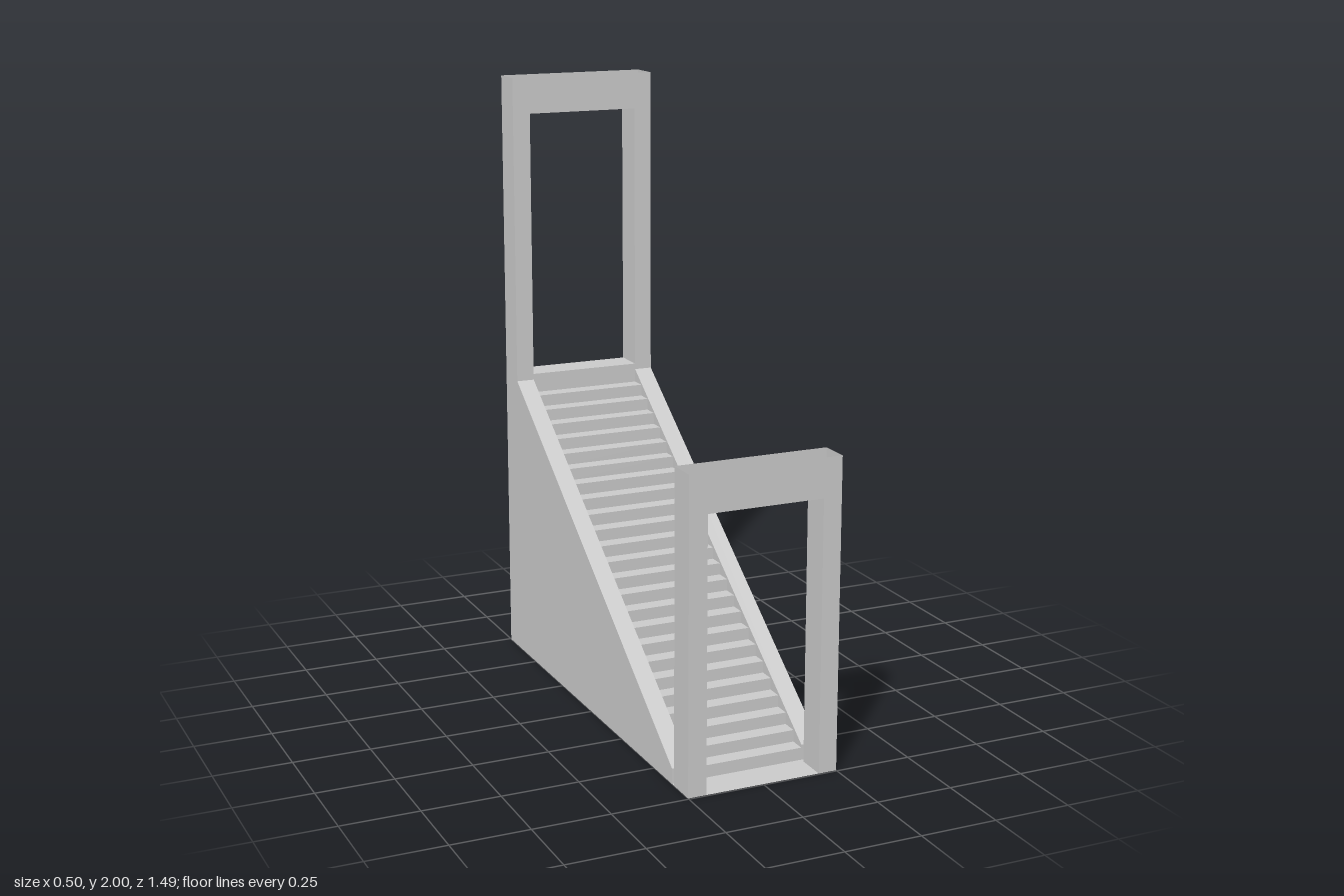
import * as THREE from 'three';

const W = 0.25;            // outer half width
const I = 0.19;            // half width of the stairs and doorways
const FRONT = 0.745, GATE = 0.645, FOOT = 0.63, HEAD = -0.64, BACK = -0.745;
const STEPS = 24, RISE = 0.0385, FLOOR = 0.99;
const RAIL_LOW = 0.05, RAIL_HIGH = 0.97;

const material = new THREE.MeshStandardMaterial({ color: 0xcccccc, side: THREE.DoubleSide });

function shapeOf(points) {
  return new THREE.Shape(points.map(([a, b]) => new THREE.Vector2(a, b)));
}

export function createModel() {
  const model = new THREE.Group();

  function add(name, geometry, parent) {
    const mesh = new THREE.Mesh(geometry, material);
    mesh.name = name;
    parent.add(mesh);
  }

  function group(name) {
    const g = new THREE.Group();
    g.name = name;
    model.add(g);
    return g;
  }

  // Sheet swept along x from a [z, y] profile; faces up when the profile runs backwards
  function sweep(name, profile, x0, x1, parent) {
    const pos = [];
    for (let i = 0; i + 1 < profile.length; i++) {
      const [za, ya] = profile[i], [zb, yb] = profile[i + 1];
      pos.push(x0, ya, za, x1, ya, za, x1, yb, zb, x0, ya, za, x1, yb, zb, x0, yb, zb);
    }
    const g = new THREE.BufferGeometry();
    g.setAttribute('position', new THREE.Float32BufferAttribute(pos, 3));
    g.computeVertexNormals();
    add(name, g, parent);
  }

  // Upright sheet at a given x from a [z, y] outline, facing +x or -x
  function side(name, outline, x, facing, parent) {
    const g = new THREE.ShapeGeometry(shapeOf(outline.map(([z, y]) => [-facing * z, y])));
    g.rotateY(facing * Math.PI / 2);
    g.translate(x, 0, 0);
    add(name, g, parent);
  }

  // Upright sheet at a given z from an [x, y] outline, facing +z or -z
  function face(name, outline, z, facing, parent, hole) {
    const shape = shapeOf(outline);
    if (hole) shape.holes.push(shapeOf(hole));
    const g = new THREE.ShapeGeometry(shape);
    if (facing < 0) g.rotateY(Math.PI);
    g.translate(0, 0, z);
    add(name, g, parent);
  }

  // Arch-shaped outline: two posts joined by a lintel
  const arch = (foot, lintel, top) => [
    [-W, foot], [-W, top], [W, top], [W, foot],
    [I, foot], [I, lintel], [-I, lintel], [-I, foot],
  ];
  const rect = (a0, a1, b0, b1) => [[a0, b0], [a1, b0], [a1, b1], [a0, b1]];

  // Lower gateway: hollow frame, open at the top
  const gate = group('lowerGateway');
  face('gateFront', arch(0, 0.875, 1), FRONT, 1, gate);
  face('gateBack', arch(0, 0.875, 1), GATE, -1, gate);
  sweep('gateSoffit', [[GATE, 0.875], [FRONT, 0.875]], -I, I, gate);

  // Upper gateway: its back wall reaches the ground
  const tower = group('upperGateway');
  face('towerFront', arch(RAIL_HIGH, 1.88, 2), HEAD, 1, tower);
  face('towerBack', rect(-W, W, 0, 2), BACK, -1, tower, rect(-I, I, FLOOR, 1.88));
  sweep('towerSoffit', [[BACK, 1.88], [HEAD, 1.88]], -I, I, tower);

  // Stairs: gateway floor, steps and upper landing in one profile
  const stairs = group('stairs');
  const run = (FOOT - HEAD) / STEPS;
  const steps = [[FOOT, 0]];
  for (let i = 0; i < STEPS; i++) {
    const y = 0.04 + i * RISE;
    steps.push([FOOT - i * run, y], [FOOT - (i + 1) * run, y]);
  }
  sweep('steps', [[FRONT, 0], ...steps, [HEAD, FLOOR], [BACK, FLOOR]], -I, I, stairs);

  // Mirrored side walls, rails and doorway reveals
  for (const s of [-1, 1]) {
    const label = s > 0 ? 'left' : 'right';
    const x0 = s > 0 ? I : -W, x1 = s > 0 ? W : -I;
    side(label + 'OuterWall', [
      [FOOT, 0], [FOOT, RAIL_LOW], [HEAD, RAIL_HIGH], [HEAD, 2], [BACK, 2], [BACK, 0],
    ], s * W, s, stairs);
    side(label + 'InnerWall', [...steps, [HEAD, RAIL_HIGH], [FOOT, RAIL_LOW]], s * I, -s, stairs);
    sweep(label + 'Rail', [[FOOT, 0], [FOOT, RAIL_LOW], [HEAD, RAIL_HIGH]], x0, x1, stairs);
    sweep(label + 'Sill', [[GATE, 0], [FOOT, 0]], x0, x1, stairs);
    side(label + 'GateSide', rect(GATE, FRONT, 0, 1), s * W, s, gate);
    side(label + 'GateReveal', rect(GATE, FRONT, 0, 0.875), s * I, -s, gate);
    side(label + 'TowerReveal', rect(BACK, HEAD, FLOOR, 1.88), s * I, -s, tower);
  }

  return model;
}
